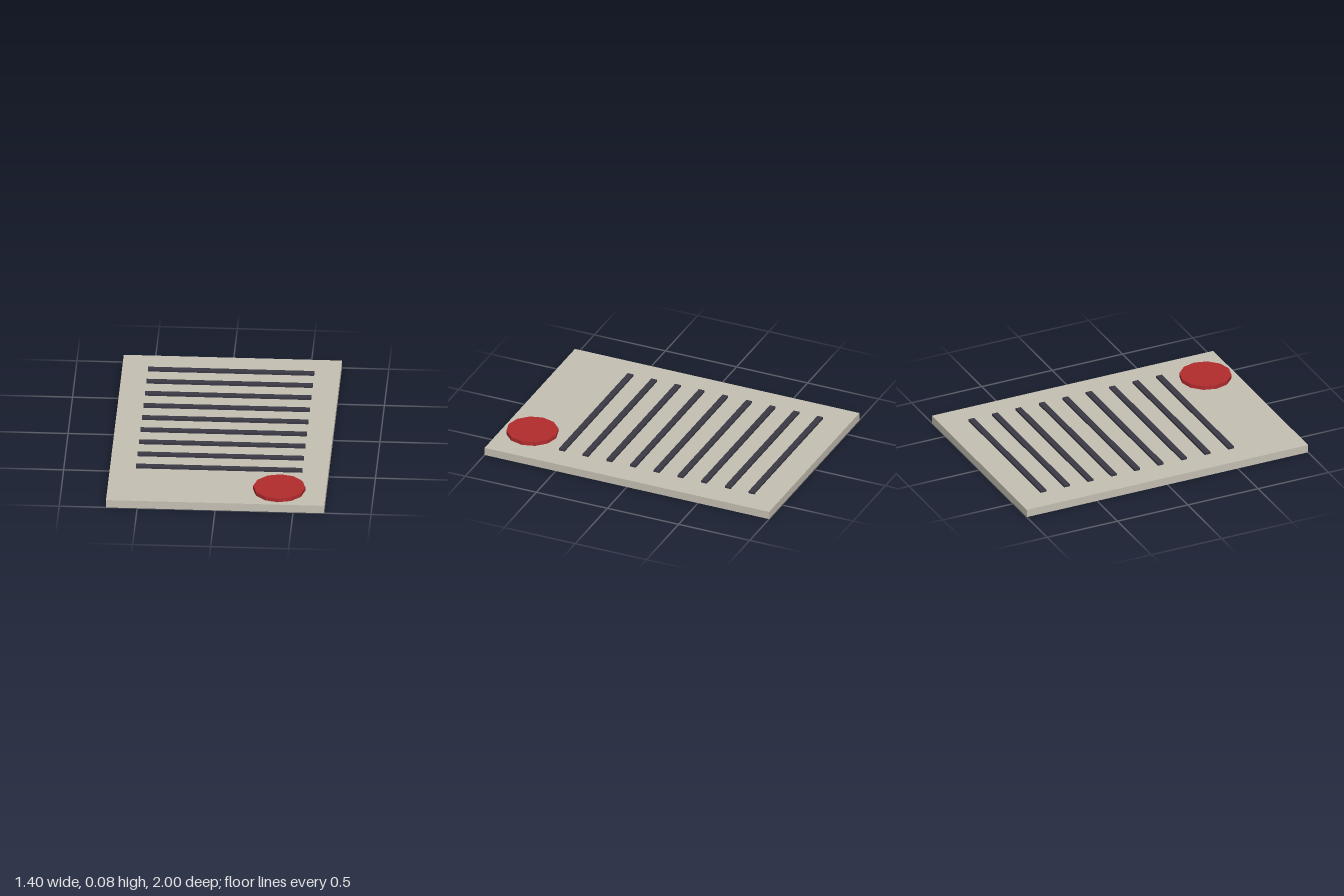
import * as THREE from 'three';

export function createModel() {
  const model = new THREE.Group();
  const paper = new THREE.MeshStandardMaterial({ color: 0xc6c1b4 });
  paper.name = 'paper';
  const ink = new THREE.MeshStandardMaterial({ color: 0x3a3945 });
  ink.name = 'ink';
  const wax = new THREE.MeshStandardMaterial({ color: 0xb42c2e, flatShading: true });
  wax.name = 'red wax';

  const add = (name, geometry, material, x, y, z) => {
    const mesh = new THREE.Mesh(geometry, material);
    mesh.name = name;
    mesh.position.set(x, y, z);
    model.add(mesh);
  };

  // Flat sheet
  const top = 0.053;
  add('sheet', new THREE.BoxGeometry(1.4, top, 2), paper, 0, top / 2, 0);

  // Nine evenly spaced ruled lines, slightly raised
  const line = new THREE.BoxGeometry(1.067, 0.02, 0.04);
  for (let i = 0; i < 9; i++) {
    add(`line${i + 1}`, line, ink, 0, 0.057, -0.8 + i / 6);
  }

  // Twelve-sided seal in the front corner
  add('seal', new THREE.CylinderGeometry(0.167, 0.167, 0.027, 12), wax, 0.4, 0.0665, 0.8);

  return model;
}
